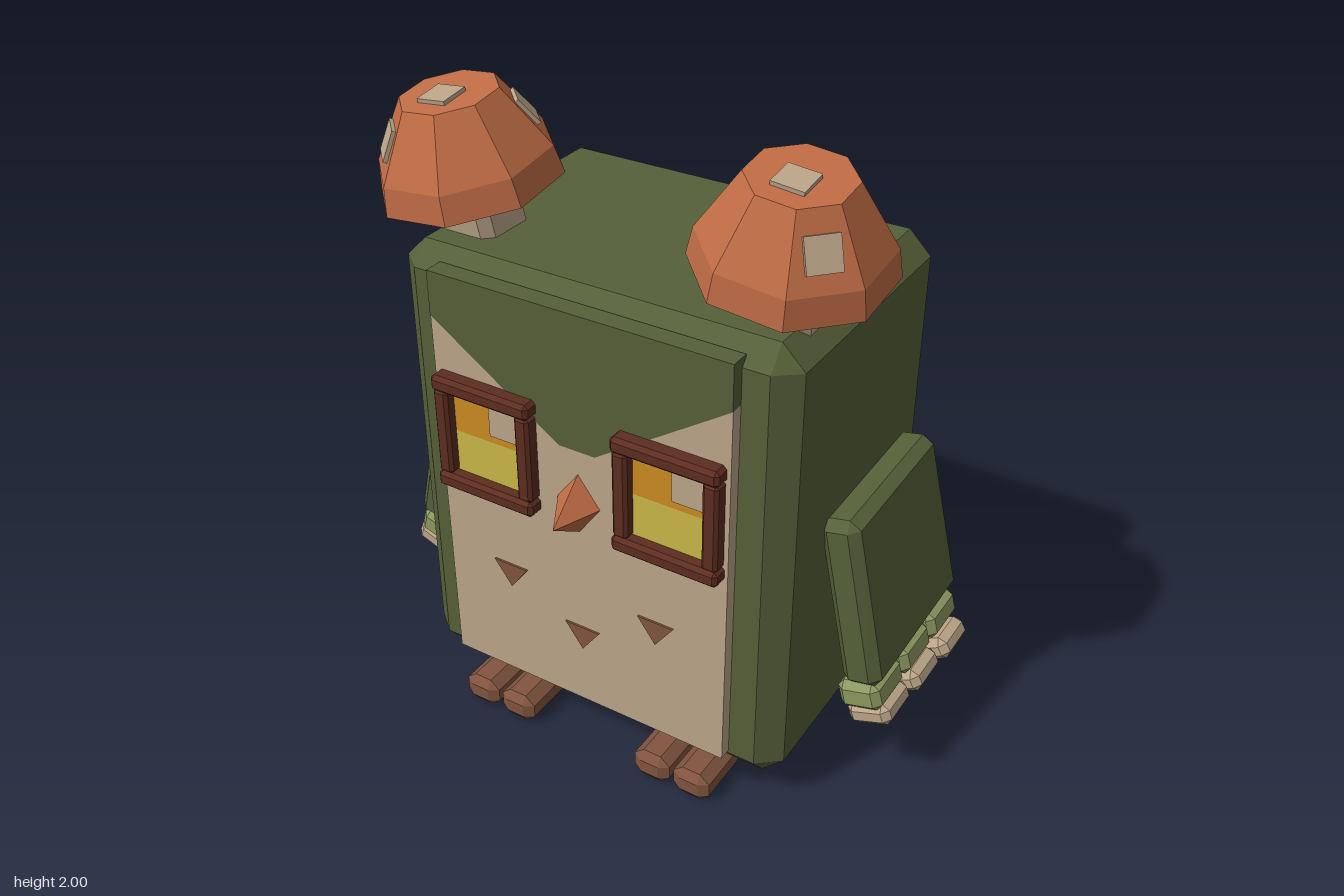
import * as THREE from 'three';
import { ConvexGeometry } from 'three/addons/geometries/ConvexGeometry.js';

const material = (name, color) => {
  const m = new THREE.MeshStandardMaterial({ color });
  m.name = name;
  return m;
};

// Box with chamfered edges; cx, cy, cz are chamfer sizes, taper scales the top depth
function chamferBox(w, h, d, cx, cy = cx, cz = cx, taper = 1) {
  const points = [];
  for (const x of [-1, 1]) for (const y of [-1, 1]) for (const z of [-1, 1]) {
    const [X, Y, Z] = [w / 2, h / 2, d / 2];
    const k = y > 0 ? taper : 1;
    points.push(
      new THREE.Vector3(x * X, y * (Y - cy), z * (Z - cz) * k),
      new THREE.Vector3(x * (X - cx), y * Y, z * (Z - cz) * k),
      new THREE.Vector3(x * (X - cx), y * (Y - cy), z * Z * k));
  }
  return new ConvexGeometry(points);
}

// Flat polygon plate in the xy plane
function plate(points, depth) {
  const shape = new THREE.Shape(points.map(([x, y]) => new THREE.Vector2(x, y)));
  return new THREE.ExtrudeGeometry(shape, { depth, bevelEnabled: false });
}

export function createModel() {
  const green = material('moss green', 0x566039);
  const lightGreen = material('light green', 0x8c9860);
  const tan = material('tan', 0xbba589);
  const orange = material('mushroom orange', 0xc06c45);
  const brown = material('foot brown', 0x825540);
  const darkBrown = material('frame brown', 0x5e2d20);
  const amber = material('amber', 0xcb8b20);
  const yellow = material('yellow', 0xc8b848);

  const model = new THREE.Group();
  model.name = 'owl';
  const add = (name, geometry, mat, x = 0, y = 0, z = 0, parent = model) => {
    const mesh = new THREE.Mesh(geometry, mat);
    mesh.name = name;
    mesh.position.set(x, y, z);
    parent.add(mesh);
    return mesh;
  };

  // Body block
  add('body', chamferBox(1.28, 1.47, 0.89, 0.07, 0.07, 0.058), green, 0, 0.845, -0.035);

  // Face and belly plate with brow
  const notch = [[0.49, 1.4], [0.06, 1.11], [-0.06, 1.11], [-0.49, 1.4]];
  add('bellyPlate', plate([[-0.485, 0.19], [0.485, 0.19], ...notch], 0.06), tan, 0, 0, 0.39);
  add('brow', plate([[-0.49, 1.54], ...[...notch].reverse(), [0.49, 1.54]], 0.062), green, 0, 0, 0.39);

  // Belly feather marks
  for (const [x, y] of [[-0.257, 0.57], [0.257, 0.57], [0, 0.438]])
    add('featherMark', plate([[-0.06, 0.041], [0, -0.041], [0.06, 0.041]], 0.008), brown, x, y, 0.448);

  // Eyes: panes, glint and four frame bars
  for (const s of [-1, 1]) {
    const eye = new THREE.Group();
    eye.name = s > 0 ? 'leftEye' : 'rightEye';
    eye.position.set(s * 0.306, 1.04, 0.45);
    model.add(eye);
    add('upperPane', new THREE.BoxGeometry(0.25, 0.15, 0.009), amber, 0, 0.075, 0.003, eye);
    add('lowerPane', new THREE.BoxGeometry(0.25, 0.15, 0.009), yellow, 0, -0.075, 0.003, eye);
    add('glint', new THREE.BoxGeometry(0.1, 0.1, 0.009), tan, 0.06, 0.075, 0.008, eye);
    for (const t of [-1, 1]) {
      add('frameBar', chamferBox(0.342, 0.052, 0.07, 0.012), darkBrown, 0, t * 0.164, 0.014, eye);
      add('frameSide', chamferBox(0.05, 0.285, 0.062, 0.01), darkBrown, t * 0.143, 0, 0.012, eye);
    }
  }

  // Beak
  add('beak', new ConvexGeometry([[0, 1.035, 0.445], [0, 0.83, 0.445], [-0.075, 0.935, 0.445],
    [0.075, 0.935, 0.445], [0, 0.915, 0.578]].map(p => new THREE.Vector3(...p))), orange);

  for (const s of [-1, 1]) {
    const side = s > 0 ? 'left' : 'right';

    // Wing slab with three two-part tips
    const wing = add(side + 'Wing', chamferBox(0.125, 0.56, 0.585, 0.03, 0.03, 0.03, 0.94),
      green, s * 0.735, 0.69, -0.093);
    wing.rotation.set(0.025, 0, s * 0.213);
    for (let i = 0; i < 3; i++) {
      const z = 0.097 - i * 0.192;
      const base = add(side + 'WingTipBase', chamferBox(0.135, 0.095, 0.184, 0.022),
        lightGreen, s * (0.787 + i * 0.004), 0.368, z);
      base.rotation.z = s * 0.27;
      const tip = add(side + 'WingTip', chamferBox(0.14, 0.075, 0.165, 0.022),
        tan, s * (0.817 + i * 0.013), 0.3 - i * 0.012, z - 0.004);
      tip.rotation.z = s * (0.35 + i * 0.08);
    }

    // Toes
    for (const x of [0.253, 0.392])
      add(side + 'Toe', chamferBox(0.125, 0.1, 0.767, 0.032, 0.028, 0.02), brown, s * x, 0.055, 0.104);

    // Mushroom ear, tilted outwards and forwards
    const ear = new THREE.Group();
    ear.name = side + 'Mushroom';
    ear.position.set(s * 0.512, 1.712, 0.198);
    ear.rotation.set(0.14, 0, -s * 0.11);
    model.add(ear);
    add('stem', chamferBox(0.2, 0.24, 0.2, 0.03, 0.012, 0.03), tan, 0, -0.065, 0, ear);
    const profile = [[0, 0], [0.276, 0], [0.26, 0.085], [0.146, 0.268], [0, 0.268]];
    const cap = new THREE.LatheGeometry(profile.map(([r, y]) => new THREE.Vector2(r, y)),
      8, Math.PI / 8).toNonIndexed();
    cap.computeVertexNormals();
    add('cap', cap, orange, 0, 0, 0, ear);

    // Pale patches on the cap
    const patch = new THREE.BoxGeometry(0.095, 0.02, 0.095);
    add('capPatch', patch, tan, 0, 0.27, 0.03, ear);
    for (const angle of [s * Math.PI / 4, s * Math.PI / 4 + Math.PI]) {
      const pivot = new THREE.Group();
      pivot.name = 'patchPivot';
      pivot.rotation.y = angle;
      ear.add(pivot);
      add('capPatch', patch, tan, 0, 0.172, 0.192, pivot).rotation.x = 1.04;
    }
  }

  // Tail: cross bar and three feathers
  add('tailBar', chamferBox(0.574, 0.105, 0.1, 0.022), green, 0, 0.612, -0.53);
  for (const i of [-1, 0, 1]) {
    const bottom = i === 0 ? 0.03 : 0.07;
    add('tailFeather', chamferBox(0.172, 0.58 - bottom, 0.088, 0.022), green,
      i * 0.19, (0.58 + bottom) / 2, -0.532);
  }

  return model;
}
